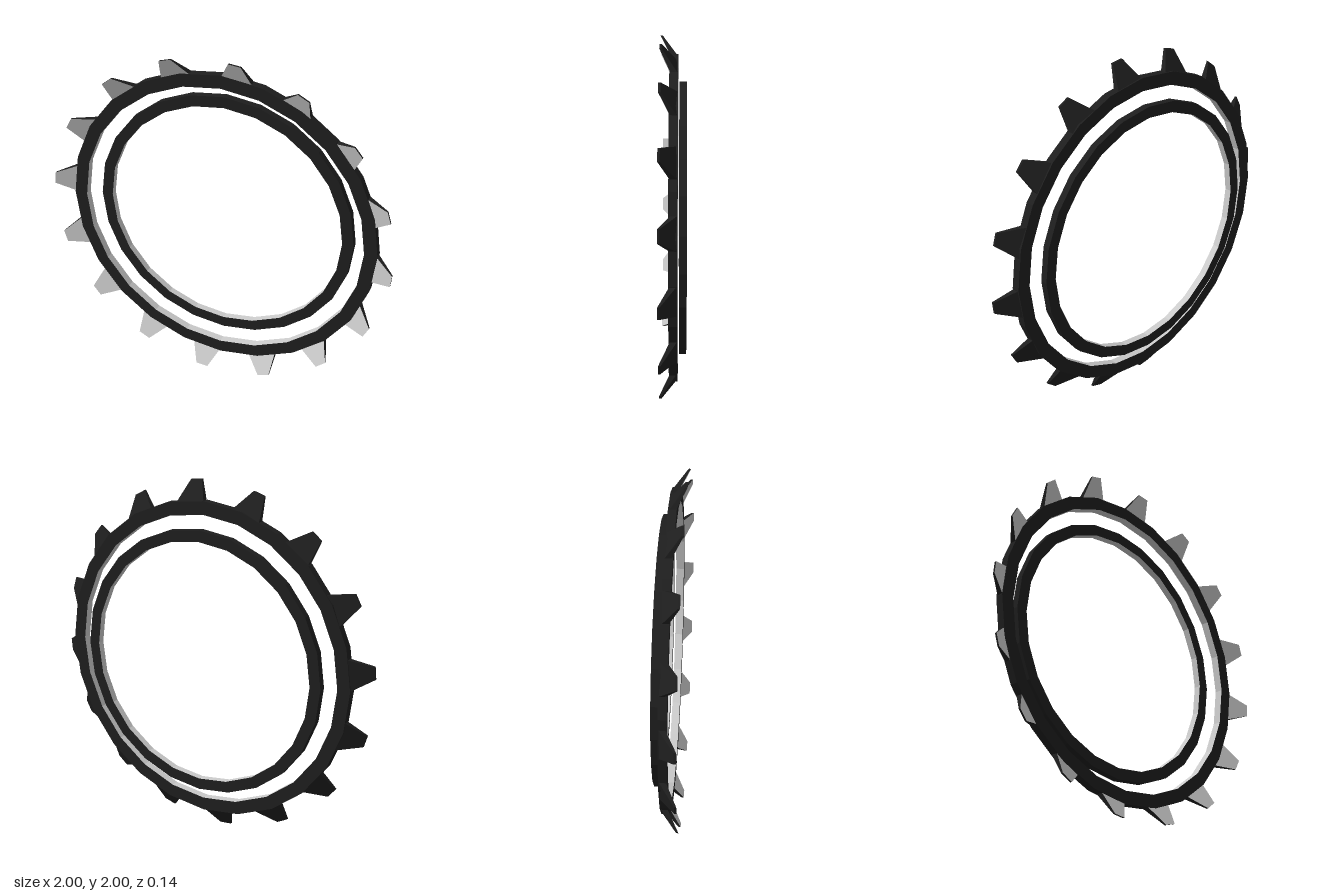
import * as THREE from 'three';

const dark = new THREE.MeshStandardMaterial({ color: 0x1e1e1e, flatShading: true });
const light = new THREE.MeshStandardMaterial({ color: 0xcccccc, flatShading: true });

function mesh(name, geometry, material) {
  const m = new THREE.Mesh(geometry, material);
  m.name = name;
  return m;
}

// Flat 24-sided ring around the z axis, with a pale inner wall
function ring(name, inner, outer, back, front) {
  const turn = (points) => new THREE.LatheGeometry(
    points.map(([r, z]) => new THREE.Vector2(r, z)), 24).rotateX(Math.PI / 2);
  const g = new THREE.Group();
  g.name = name;
  g.add(mesh(name + 'Body', turn([[inner, back], [outer, back], [outer, front], [inner, front]]), dark));
  g.add(mesh(name + 'InnerWall', turn([[inner, front], [inner, back]]), light));
  return g;
}

// Geometry from a list of four-cornered faces, counter-clockwise from outside
function quads(corners, faces) {
  const pos = faces.flatMap(([a, b, c, d]) => [a, b, c, a, c, d].flatMap((i) => corners[i]));
  const g = new THREE.BufferGeometry();
  g.setAttribute('position', new THREE.Float32BufferAttribute(pos, 3));
  g.computeVertexNormals();
  return g;
}

export function createModel() {
  const model = new THREE.Group();
  model.name = 'toothedRing';

  model.add(ring('outerRing', 0.826, 0.9, -0.026, 0.02));
  model.add(ring('innerRing', 0.688, 0.752, -0.072, -0.032));

  // Tapered tooth leaning forward: corners 0-3 on the front, 4-7 on the back
  const base = 0.088, tip = 0.035;
  const corners = [
    [-base, 0.88, 0.01], [base, 0.88, 0.01], [tip, 1, 0.072], [-tip, 1, 0.072],
    [-base, 0.885, -0.025], [base, 0.885, -0.025], [tip, 1, 0.06], [-tip, 1, 0.06],
  ];
  const faceGeo = quads(corners, [[0, 1, 2, 3]]);
  const bodyGeo = quads(corners, [
    [5, 4, 7, 6], [1, 5, 6, 2], [4, 0, 3, 7], [3, 2, 6, 7], [4, 5, 1, 0],
  ]);

  const count = 16;
  for (let i = 0; i < count; i++) {
    const tooth = new THREE.Group();
    tooth.name = 'tooth' + (i + 1);
    tooth.add(mesh('toothFace', faceGeo, light), mesh('toothBody', bodyGeo, dark));
    tooth.rotation.z = -(i + 0.25) * 2 * Math.PI / count;
    model.add(tooth);
  }

  // Stand the rings on the ground
  model.children.forEach((part) => { part.position.y = 1; });
  return model;
}
